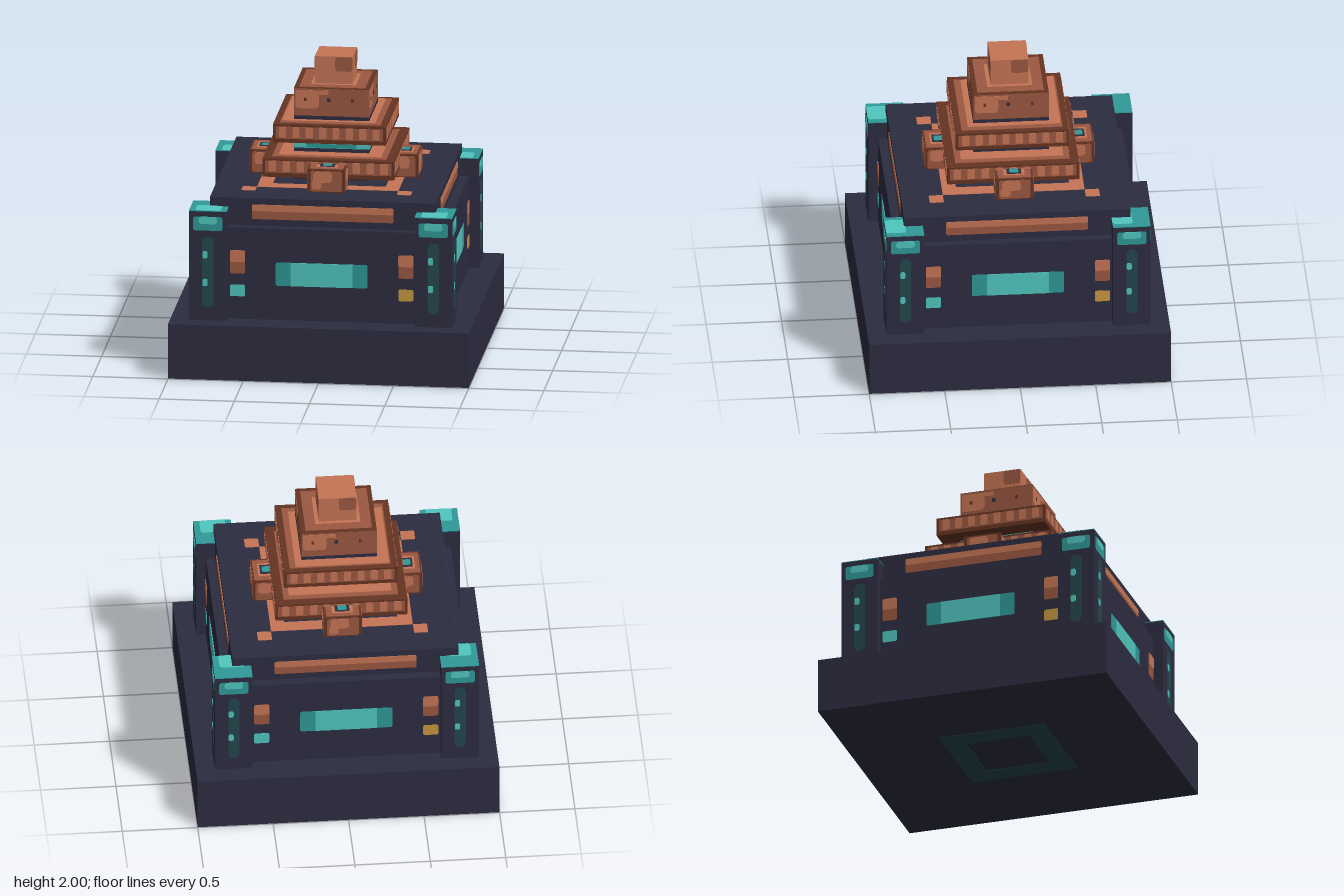
import * as THREE from 'three';

const mat = (name, color) => {
  const m = new THREE.MeshStandardMaterial({ color });
  m.name = name;
  return m;
};

export function createModel() {
  const model = new THREE.Group();
  model.name = 'steppedMachine';
  const navy = mat('navy', 0x2c2c41), copper = mat('copper', 0xc67556);
  const rust = mat('rust', 0x9b5841), brown = mat('brown', 0x663422);
  const aqua = mat('aqua', 0x50c6be), teal = mat('teal', 0x2f9998);
  const deepTeal = mat('deepTeal', 0x25474c), gold = mat('gold', 0xc8983f);

  // Solid block from its half width, centred on (x, z), between two heights
  function block(name, m, half, y0, y1, x = 0, z = 0, halfZ = half, parent = model) {
    const mesh = new THREE.Mesh(new THREE.BoxGeometry(half * 2, y1 - y0, halfZ * 2), m);
    mesh.position.set(x, (y0 + y1) / 2, z);
    mesh.name = name;
    parent.add(mesh);
    return mesh;
  }

  function roundRect(x0, x1, y0, y1, r) {
    const s = new THREE.Shape();
    if (!r) {
      s.moveTo(x0, y0).lineTo(x1, y0).lineTo(x1, y1).lineTo(x0, y1);
    } else {
      s.absarc(x1 - r, y0 + r, r, -Math.PI / 2, 0);
      s.absarc(x1 - r, y1 - r, r, 0, Math.PI / 2);
      s.absarc(x0 + r, y1 - r, r, Math.PI / 2, Math.PI);
      s.absarc(x0 + r, y0 + r, r, Math.PI, Math.PI * 1.5);
    }
    s.closePath();
    return s;
  }

  // Thin upright plate on a face at depth z; higher layers lie on lower ones
  function plate(parent, name, m, x0, x1, y0, y1, z, layer = 1, r = 0) {
    const geo = new THREE.ExtrudeGeometry(roundRect(x0, x1, y0, y1, r),
      { depth: 0.0025 * layer, bevelEnabled: false, curveSegments: 4 });
    const mesh = new THREE.Mesh(geo, m);
    mesh.position.z = z;
    mesh.name = name;
    parent.add(mesh);
  }

  // Thin level plate on a top face at height y, with an optional square hole
  function topPlate(parent, name, m, x0, x1, z0, z1, y, layer = 1, hole = 0, r = 0) {
    const shape = roundRect(x0, x1, -z1, -z0, r);
    if (hole) shape.holes.push(roundRect(-hole, hole, -hole, hole, 0));
    const geo = new THREE.ExtrudeGeometry(shape, { depth: 0.0025 * layer, bevelEnabled: false, curveSegments: 4 });
    geo.rotateX(-Math.PI / 2);
    const mesh = new THREE.Mesh(geo, m);
    mesh.position.y = y;
    mesh.name = name;
    parent.add(mesh);
  }
  const frame = (name, m, outer, inner, y, layer = 1) =>
    topPlate(model, name, m, -outer, outer, -outer, outer, y, layer, inner);

  // Base, body and top slab
  block('base', navy, 1, 0.0025, 0.375);
  frame('undersideFrame', deepTeal, 0.365, 0.22, 0);
  block('body', navy, 0.81, 0.375, 1);
  block('topSlab', navy, 0.75, 1, 1.1875);
  frame('slabFrame', copper, 0.47, 0.375, 1.1875);

  // Corner pillars with teal caps
  for (const x of [-0.75, 0.75]) for (const z of [-0.75, 0.75]) {
    block('cornerPillar', navy, 0.125, 0.375, 1.12, x, z);
    block('pillarCap', teal, 0.125, 1.12, 1.125, x, z);
    topPlate(model, 'capHighlight', aqua, x - 0.085, x + 0.085, z - 0.01, z + 0.124, 1.125, 1, 0, 0.02);
    const sx = Math.sign(x) * 0.517, sz = Math.sign(z) * 0.517;
    topPlate(model, 'slabStud', copper, sx - 0.047, sx + 0.047, sz - 0.047, sz + 0.047, 1.1875, 1, 0, 0.008);
  }

  // Stepped tower
  block('towerCore', navy, 0.25, 1.1875, 1.47);
  block('lowerTier', brown, 0.4375, 1.25, 1.375);
  frame('lowerTierTop', rust, 0.38, 0.25, 1.375);
  frame('lowerTierTopInner', copper, 0.34, 0.25, 1.375, 2);
  block('upperTier', brown, 0.375, 1.47, 1.595);
  frame('upperTierTop', rust, 0.335, 0.25, 1.595);
  topPlate(model, 'upperTierTopLight', copper, -0.325, 0.295, -0.325, 0.29, 1.595, 2, 0.25);
  block('headFoot', navy, 0.25, 1.595, 1.625);
  block('head', rust, 0.25, 1.625, 1.8125);
  frame('headRim', brown, 0.25, 0.22, 1.8125);
  frame('headTop', rust, 0.22, 0.15, 1.8125);
  frame('headTopInner', copper, 0.15, 0.12, 1.8125);
  block('crown', copper, 0.125, 1.8125, 2);

  // Painted details and knob, the same on all four sides
  for (let k = 0; k < 4; k++) {
    const side = new THREE.Group();
    side.name = 'sideDetails';
    side.rotation.y = k * Math.PI / 2;
    model.add(side);
    const p = (...a) => plate(side, ...a);

    // Slab strip and body lights
    p('slabStrip', rust, -0.47, 0.47, 1.045, 1.145, 0.75, 1, 0.01);
    p('slabStripLight', copper, -0.47, 0.47, 1.1, 1.145, 0.75, 2, 0.01);
    p('window', teal, -0.305, 0.305, 0.61, 0.77, 0.8125, 1, 0.012);
    p('windowGlow', aqua, -0.205, 0.205, 0.61, 0.77, 0.8125, 2);
    for (const x of [-0.56, 0.56]) {
      p('copperLamp', rust, x - 0.05, x + 0.05, 0.685, 0.845, 0.8125, 1, 0.012);
      p('copperLampLight', copper, x - 0.05, x + 0.05, 0.765, 0.845, 0.8125, 2, 0.012);
      p('smallLamp', x < 0 ? aqua : gold, x - 0.05, x + 0.05, 0.53, 0.61, 0.8125, 1, 0.012);
    }

    // Pillar faces
    for (const x of [-0.75, 0.75]) {
      p('pillarLamp', teal, x - 0.097, x + 0.097, 0.99, 1.085, 0.875, 1, 0.015);
      p('pillarLampGlow', aqua, x - 0.062, x + 0.062, 1.035, 1.085, 0.875, 2, 0.02);
      p('pillarTube', deepTeal, x - 0.037, x + 0.037, 0.465, 0.95, 0.875, 1, 0.036);
      for (const y of [0.635, 0.825])
        p('tubeGlow', aqua, x - 0.035, x - 0.001, y - 0.025, y + 0.025, 0.875, 2, 0.012);
    }

    // Core bands
    p('coreLowerBand', teal, -0.25, 0.25, 1.205, 1.26, 0.25);
    for (const s of [-1, 1])
      p('coreLowerGlow', aqua, s * 0.17 - 0.035, s * 0.17 + 0.035, 1.205, 1.25, 0.25, 2);
    p('coreUpperBand', aqua, -0.25, 0.25, 1.405, 1.47, 0.25);
    p('coreUpperLine', teal, -0.165, 0.165, 1.408, 1.435, 0.25, 2);

    // Tier bands with alternating stripes
    for (const [half, y0, y1, n] of [[0.4375, 1.28, 1.362, 9], [0.375, 1.497, 1.58, 8]]) {
      p('tierBand', rust, -half + 0.018, half - 0.018, y0, y1, half);
      const step = (half * 2 - 0.04) / n;
      for (let i = 0; i < n; i++) {
        const x = -half + 0.02 + (i + 0.5) * step;
        p('tierStripe', copper, x - step * 0.27, x + step * 0.27, y0 + 0.008, y1, half, 2, 0.01);
      }
    }

    // Head and crown faces
    p('headLight', copper, -0.24, -0.085, 1.675, 1.78, 0.25, 1, 0.025);
    p('headLightUpper', copper, -0.24, -0.02, 1.77, 1.8, 0.25, 1);
    p('headDot', navy, -0.03, -0.007, 1.725, 1.748, 0.25, 2);
    for (const x of [-0.175, 0.14]) p('headDot', brown, x - 0.009, x + 0.009, 1.725, 1.748, 0.25, 2);
    p('crownShade', rust, 0.01, 0.125, 1.9, 1.998, 0.125, 1, 0.02);

    // Knob at the foot of the tower
    block('knob', brown, 0.125, 1.1875, 1.345, 0, 0.4675, 0.0925, side);
    p('knobFace', rust, -0.105, 0.105, 1.195, 1.335, 0.56, 1, 0.015);
    p('knobFaceLight', copper, -0.085, 0.04, 1.255, 1.33, 0.56, 2, 0.025);
    p('knobFaceLightLow', copper, -0.095, -0.03, 1.21, 1.27, 0.56, 2, 0.015);
    topPlate(side, 'knobTop', rust, -0.11, 0.11, 0.39, 0.55, 1.345, 1, 0, 0.01);
    topPlate(side, 'knobTopLight', copper, -0.07, 0.07, 0.41, 0.52, 1.345, 2, 0, 0.01);
    topPlate(side, 'knobSocket', navy, -0.048, 0.048, 0.415, 0.505, 1.345, 3);
    topPlate(side, 'knobGem', teal, -0.03, 0.03, 0.425, 0.493, 1.345, 3.8, 0, 0.01);
    for (const s of [-1, 1]) {
      const cheek = new THREE.Group();
      cheek.name = 'knobCheek';
      cheek.position.z = 0.4675;
      cheek.rotation.y = s * Math.PI / 2;
      side.add(cheek);
      plate(cheek, 'cheekFace', rust, -0.075, 0.075, 1.195, 1.335, 0.125, 1, 0.015);
      plate(cheek, 'cheekLight', copper, -0.06, 0.035, 1.25, 1.33, 0.125, 2, 0.025);
    }
  }
  return model;
}
